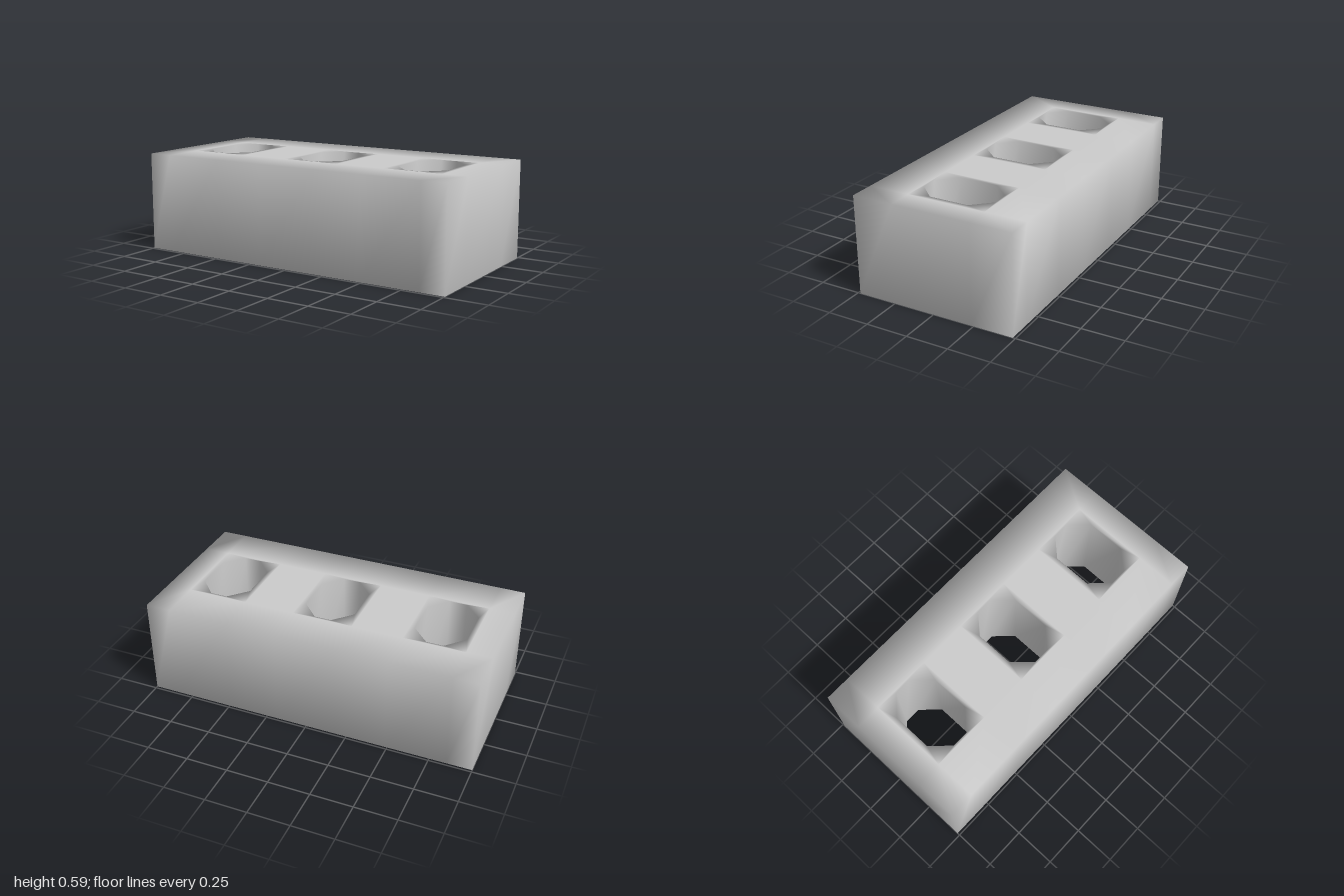
import * as THREE from 'three';
import { mergeGeometries, mergeVertices } from 'three/addons/utils/BufferGeometryUtils.js';

const W = 1, D = 0.485, H = 0.592;           // half width, half depth, height
const holeX = [-0.667, 0, 0.667];            // hole centres
const hx = 0.152, hz = 0.225;                // hole half sizes
const cx = 0.05, cz = 0.117;                 // ends of the straight hole sides
const mx = 0.03, mz = 0.012;                 // thin margin round each hole

// Octagon outline of one hole, counter-clockwise seen from above
const octagon = (x) => [
  [hx, -cz], [hx, cz], [cx, hz], [-cx, hz], [-hx, cz], [-hx, -cz], [-cx, -hz], [cx, -hz],
].map(([a, b]) => new THREE.Vector2(x + a, b));

// Vertical wall along a closed outline; the solid lies to the left of its direction
function wall(points) {
  const pos = [];
  points.forEach((a, i) => {
    const b = points[(i + 1) % points.length];
    pos.push(a.x, 0, -a.y, b.x, 0, -b.y, b.x, H, -b.y);
    pos.push(a.x, 0, -a.y, b.x, H, -b.y, a.x, H, -a.y);
  });
  const g = new THREE.BufferGeometry();
  g.setAttribute('position', new THREE.Float32BufferAttribute(pos, 3));
  return g;
}

// Flat patch, used once for the top and once for the bottom
function caps(outline, hole) {
  const shape = new THREE.Shape(outline);
  if (hole) shape.holes.push(new THREE.Path(hole));
  return [1, -1].map((side) => {
    const g = new THREE.ShapeGeometry(shape).toNonIndexed();
    g.deleteAttribute('normal');
    g.deleteAttribute('uv');
    g.rotateX(-side * Math.PI / 2);
    g.translate(0, side > 0 ? H : 0, 0);
    return g;
  });
}

export function createModel() {
  const group = new THREE.Group();
  group.name = 'brick';

  // Grid lines beside the holes keep the middle of each face evenly shaded
  const xs = [-W, ...holeX.flatMap((x) => [x - hx - mx, x + hx + mx]), W];
  const zs = [-D, -hz - mz, hz + mz, D];
  const parts = [];

  // Top and bottom, cell by cell
  for (let i = 0; i < xs.length - 1; i++) {
    for (let j = 0; j < zs.length - 1; j++) {
      const outline = [[i, j], [i + 1, j], [i + 1, j + 1], [i, j + 1]]
        .map(([a, b]) => new THREE.Vector2(xs[a], zs[b]));
      const hasHole = j === 1 && i % 2 === 1;
      parts.push(...caps(outline, hasHole ? octagon(holeX[(i - 1) / 2]) : null));
    }
  }

  // Outer sides
  const half = [
    ...xs.slice(0, -1).map((x) => new THREE.Vector2(x, -D)),
    ...zs.slice(0, -1).map((z) => new THREE.Vector2(W, z)),
  ];
  parts.push(wall([...half, ...half.map((p) => p.clone().negate())]));

  // Inner sides of the holes
  holeX.forEach((x) => parts.push(wall(octagon(x).reverse())));

  // Shared vertices give soft shading over the edges
  const geometry = mergeVertices(mergeGeometries(parts), 1e-4);
  geometry.computeVertexNormals();
  const body = new THREE.Mesh(geometry, new THREE.MeshStandardMaterial({ color: 0xcccccc }));
  body.name = 'brickBody';
  group.add(body);
  return group;
}
